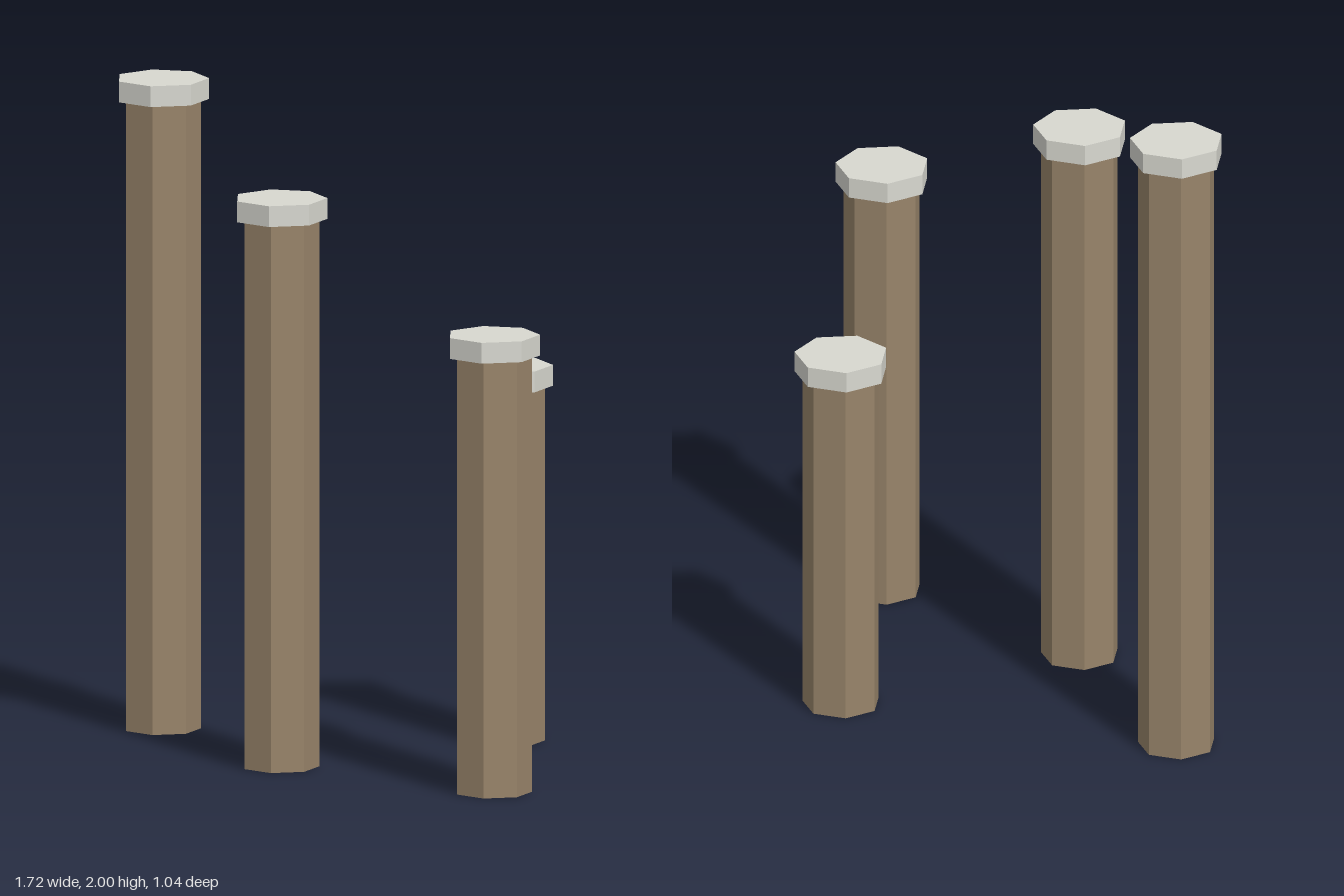
import * as THREE from 'three';

const SIDES = 7;
const POST_RADIUS = 0.119;
const CAP_RADIUS = 0.143;
const CAP_HEIGHT = 0.064;

const wood = new THREE.MeshStandardMaterial({ color: 0x98846a, flatShading: true });
const capStone = new THREE.MeshStandardMaterial({ color: 0xd8d8d0, flatShading: true });

// Seven-sided prism standing on y = bottom, with one corner pointing to the back
function prism(name, radius, bottom, height, material) {
  const geometry = new THREE.CylinderGeometry(radius, radius, height, SIDES, 1, false, Math.PI);
  geometry.translate(0, bottom + height / 2, 0);
  const mesh = new THREE.Mesh(geometry, material);
  mesh.name = name;
  return mesh;
}

// Wooden post with a wider flat cap on top
function piling(x, z, height) {
  const group = new THREE.Group();
  group.name = 'piling';
  const capBottom = height - CAP_HEIGHT;
  group.add(prism('post', POST_RADIUS, 0, capBottom, wood));
  group.add(prism('cap', CAP_RADIUS, capBottom, CAP_HEIGHT, capStone));
  group.position.set(x, 0, z);
  return group;
}

export function createModel() {
  const model = new THREE.Group();
  model.name = 'pilings';
  // x, z, total height of each piling
  const layout = [
    [-0.719, 0.134, 2.0],
    [-0.044, 0.39, 1.748],
    [0.21, -0.374, 1.155],
    [0.719, 0.304, 1.406],
  ];
  for (const [x, z, height] of layout) model.add(piling(x, z, height));
  return model;
}
